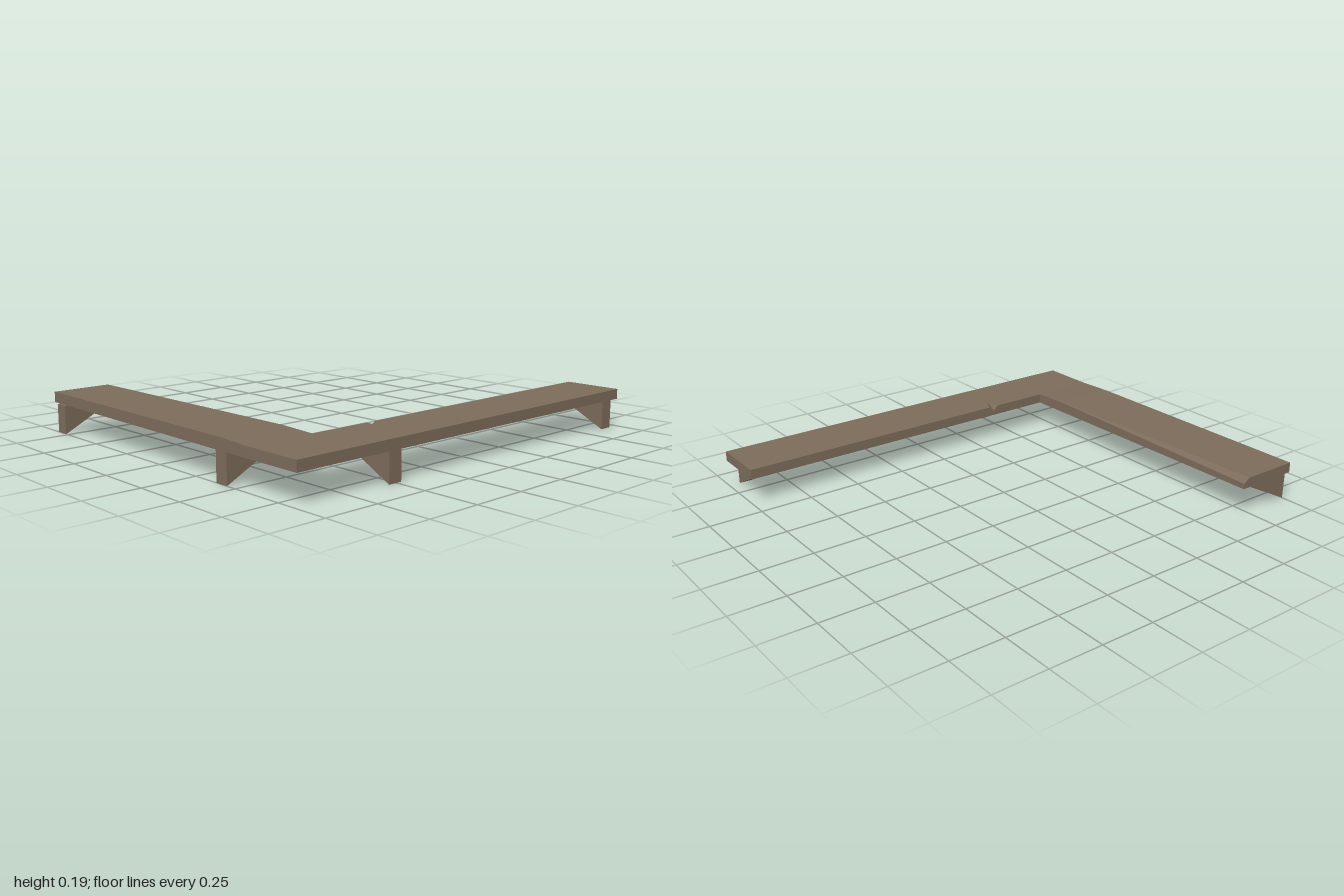
import * as THREE from 'three';

const BOT = 0.13, TOP = 0.177, FRONT = 0.853, INNER = 0.58;

// Flat-faced geometry from convex polygons (corners counter-clockwise from outside)
function polygons(list) {
  const pos = [];
  for (const p of list) {
    for (let i = 1; i < p.length - 1; i++) pos.push(...p[0], ...p[i], ...p[i + 1]);
  }
  const g = new THREE.BufferGeometry();
  g.setAttribute('position', new THREE.Float32BufferAttribute(pos, 3));
  g.computeVertexNormals();
  return g;
}

// Front plank, with a small V-shaped chip in its inner top edge
function frontPlank() {
  const b = (x, z) => [x, BOT, z], t = (x, z) => [x, TOP, z];
  const tip = t(-0.39, 0.66), chipL = t(-0.395, INNER), chipR = t(-0.345, INNER);
  const pit = [-0.375, TOP - 0.025, INNER];
  return polygons([
    [t(-1, FRONT), t(-0.39, FRONT), tip, chipL, t(-1, INNER)],
    [t(1, FRONT), t(1, INNER), chipR, tip, t(-0.39, FRONT)],
    [tip, pit, chipL],
    [tip, chipR, pit],
    [b(-1, INNER), t(-1, INNER), chipL, pit, b(-0.375, INNER)],
    [b(1, INNER), b(-0.375, INNER), pit, chipR, t(1, INNER)],
    [b(-1, FRONT), b(1, FRONT), t(1, FRONT), t(-1, FRONT)],
    [b(1, FRONT), b(1, INNER), t(1, INNER), t(1, FRONT)],
    [b(-1, INNER), b(-1, FRONT), t(-1, FRONT), t(-1, INNER)],
    [b(-1, INNER), b(1, INNER), b(1, FRONT), b(-1, FRONT)],
  ]);
}

// Side plank: rises slightly to the back, its inner top edge worn away more and more
function sidePlank() {
  const section = (z, bot, top, innerX, wornX, wornY) => [
    [-1, bot, z], [innerX, bot, z], [innerX, wornY, z], [wornX, top, z], [-1, top, z],
  ];
  const rings = [
    section(INNER, BOT, TOP, -0.685, -0.686, TOP),
    section(0.4, 0.131, 0.184, -0.686, -0.69, 0.183),
    section(-FRONT, 0.138, 0.186, -0.69, -0.72, 0.164),
  ];
  const faces = [rings[0], [...rings[2]].reverse()];
  for (let k = 0; k < 2; k++) {
    for (let i = 0; i < 5; i++) {
      const j = (i + 1) % 5, a = rings[k], c = rings[k + 1];
      faces.push([a[i], c[i], c[j], a[j]]);
    }
  }
  return polygons(faces);
}

export function createModel() {
  const model = new THREE.Group();
  model.name = 'cornerShelf';
  const wood = new THREE.MeshStandardMaterial({ color: 0x7d6c5b });
  wood.name = 'brown wood';

  const add = (name, geometry) => {
    const mesh = new THREE.Mesh(geometry, wood);
    mesh.name = name;
    model.add(mesh);
    return mesh;
  };
  add('frontPlank', frontPlank());
  add('sidePlank', sidePlank());

  // Wedge brackets, flush with the outer edges
  const wedge = new THREE.Shape([
    new THREE.Vector2(0, 0), new THREE.Vector2(0.26, BOT + 0.002), new THREE.Vector2(0, BOT + 0.002),
  ]);
  const bracket = new THREE.ExtrudeGeometry(wedge, { depth: 0.066, bevelEnabled: false });
  for (const z of [0.384, -0.83]) add('sideBracket', bracket).position.set(-1, 0, z);
  for (const x of [-0.54, 0.882]) {
    const m = add('frontBracket', bracket);
    m.rotation.y = Math.PI / 2;
    m.position.set(x, 0, FRONT);
  }
  return model;
}
